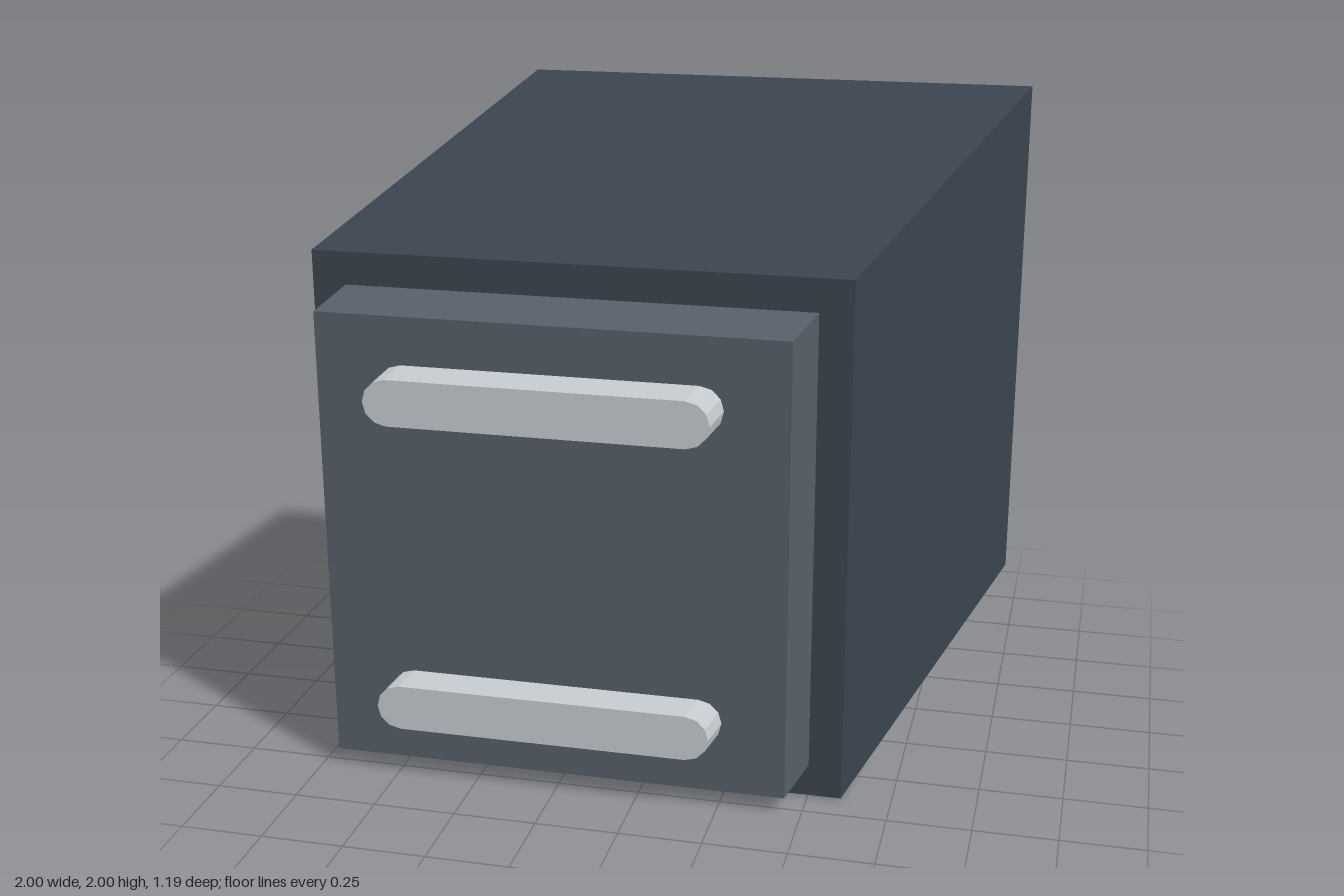
import * as THREE from 'three';

const SLANT = 0.4; // sideways and upward shift per unit of depth

// Extrude a front outline backwards from zFront to zBack along the slanted depth axis
function slantedPrism(name, shape, zFront, zBack, color) {
  const depth = zFront - zBack;
  const geometry = new THREE.ExtrudeGeometry(shape, { depth, bevelEnabled: false, curveSegments: 3 });
  geometry.translate(0, 0, -depth);
  geometry.applyMatrix4(new THREE.Matrix4().set(
    1, 0, -SLANT, 0,
    0, 1, -SLANT, 0,
    0, 0, 1, zFront,
    0, 0, 0, 1
  ));
  geometry.computeVertexNormals();
  const mesh = new THREE.Mesh(geometry, new THREE.MeshStandardMaterial({ color, flatShading: true }));
  mesh.name = name;
  return mesh;
}

function rectangle(x0, y0, x1, y1) {
  return new THREE.Shape([
    new THREE.Vector2(x0, y0), new THREE.Vector2(x1, y0),
    new THREE.Vector2(x1, y1), new THREE.Vector2(x0, y1),
  ]);
}

// Bar with semicircular ends
function slot(x0, x1, y, r) {
  const shape = new THREE.Shape();
  shape.absarc(x1 - r, y, r, -Math.PI / 2, Math.PI / 2, false);
  shape.absarc(x0 + r, y, r, Math.PI / 2, Math.PI * 1.5, false);
  return shape;
}

export function createModel() {
  const model = new THREE.Group();
  model.name = 'slantedCabinet';

  // Cabinet body and raised door panel
  model.add(slantedPrism('body', rectangle(-1, 0, 0.6, 1.6), 0.4, -0.593, 0x3a444e));
  model.add(slantedPrism('doorPanel', rectangle(-0.95, 0.05, 0.45, 1.45), 0.527, 0.4, 0x555e67));

  // Upper and lower rounded bars
  [['upperHandle', 1.209], ['lowerHandle', 0.246]].forEach(([name, y]) => {
    model.add(slantedPrism(name, slot(-0.788, 0.233, y, 0.07), 0.593, 0.527, 0xc4c9ce));
  });
  return model;
}
